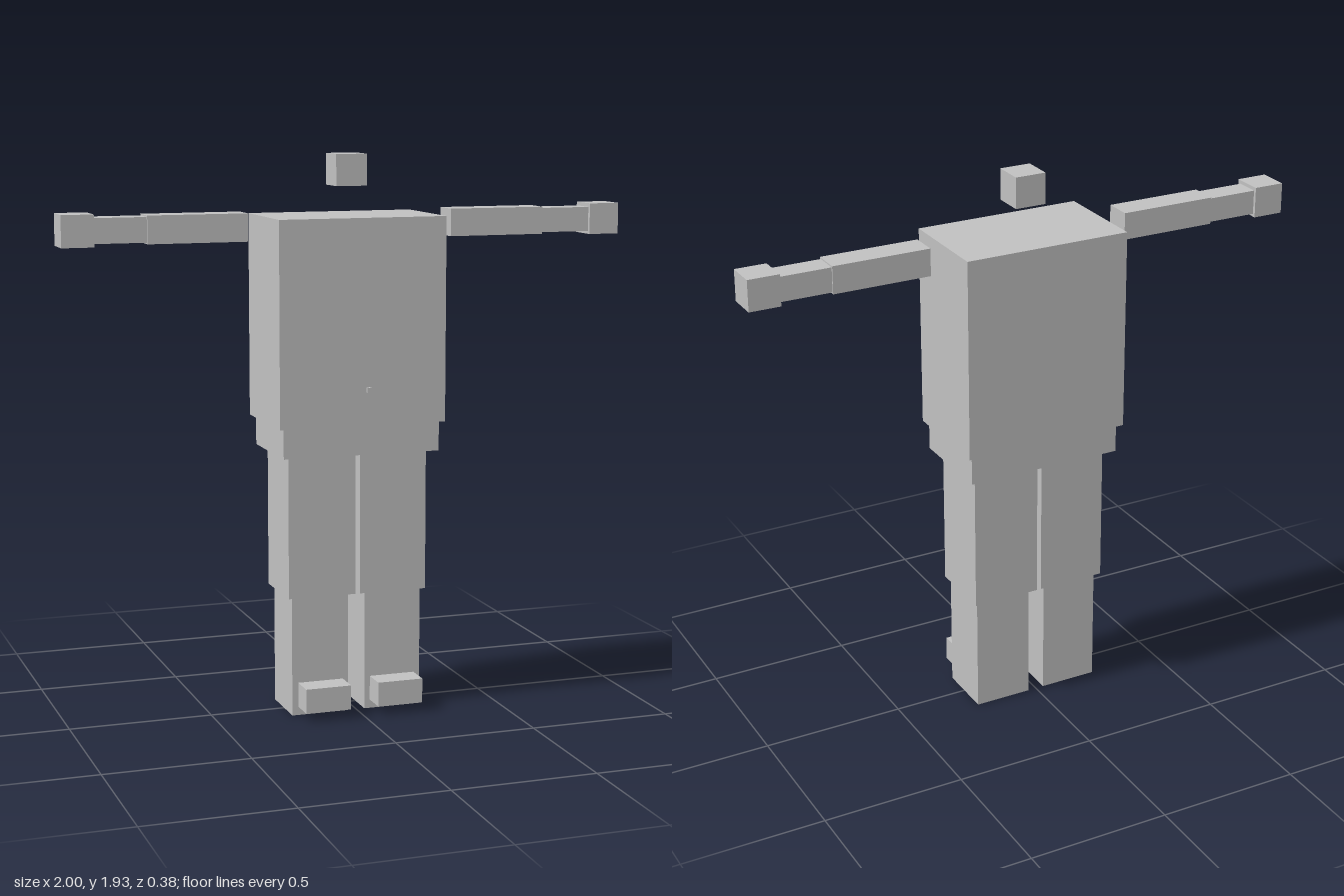
import * as THREE from 'three';

const grey = new THREE.MeshStandardMaterial({ color: 0xc0c0c0 });
grey.name = 'plain grey';

// Box spanning [min, max] on each axis
function block(name, [x0, x1], [y0, y1], [z0, z1]) {
  const mesh = new THREE.Mesh(new THREE.BoxGeometry(x1 - x0, y1 - y0, z1 - z0), grey);
  mesh.position.set((x0 + x1) / 2, (y0 + y1) / 2, (z0 + z1) / 2);
  mesh.name = name;
  return mesh;
}

export function createModel() {
  const model = new THREE.Group();
  model.name = 'blockFigure';

  // Head and trunk
  model.add(
    block('head', [-0.055, 0.055], [1.825, 1.933], [-0.064, 0.046]),
    block('torso', [-0.297, 0.297], [1.02, 1.725], [-0.188, 0.172]),
    block('pelvis', [-0.28, 0.28], [0.917, 1.02], [-0.169, 0.157]),
    block('navel', [0.01, 0.027], [1.134, 1.152], [0.172, 0.184]),
  );

  // Limbs, mirrored left and right
  const limbs = [
    ['UpperArm', [0.365, 0.71], [1.645, 1.74], [-0.058, 0.04]],
    ['Forearm', [0.71, 0.89], [1.65, 1.735], [-0.053, 0.033]],
    ['Hand', [0.89, 1], [1.64, 1.748], [-0.064, 0.046]],
    ['Thigh', [0.008, 0.25], [0.42, 0.917], [-0.13, 0.112]],
    ['Shin', [0.03, 0.235], [0, 0.42], [-0.109, 0.098]],
    ['Foot', [0.05, 0.213], [0.03, 0.116], [0.098, 0.188]],
  ];
  for (const [name, [x0, x1], y, z] of limbs) {
    model.add(block('left' + name, [x0, x1], y, z));
    model.add(block('right' + name, [-x1, -x0], y, z));
  }
  return model;
}
